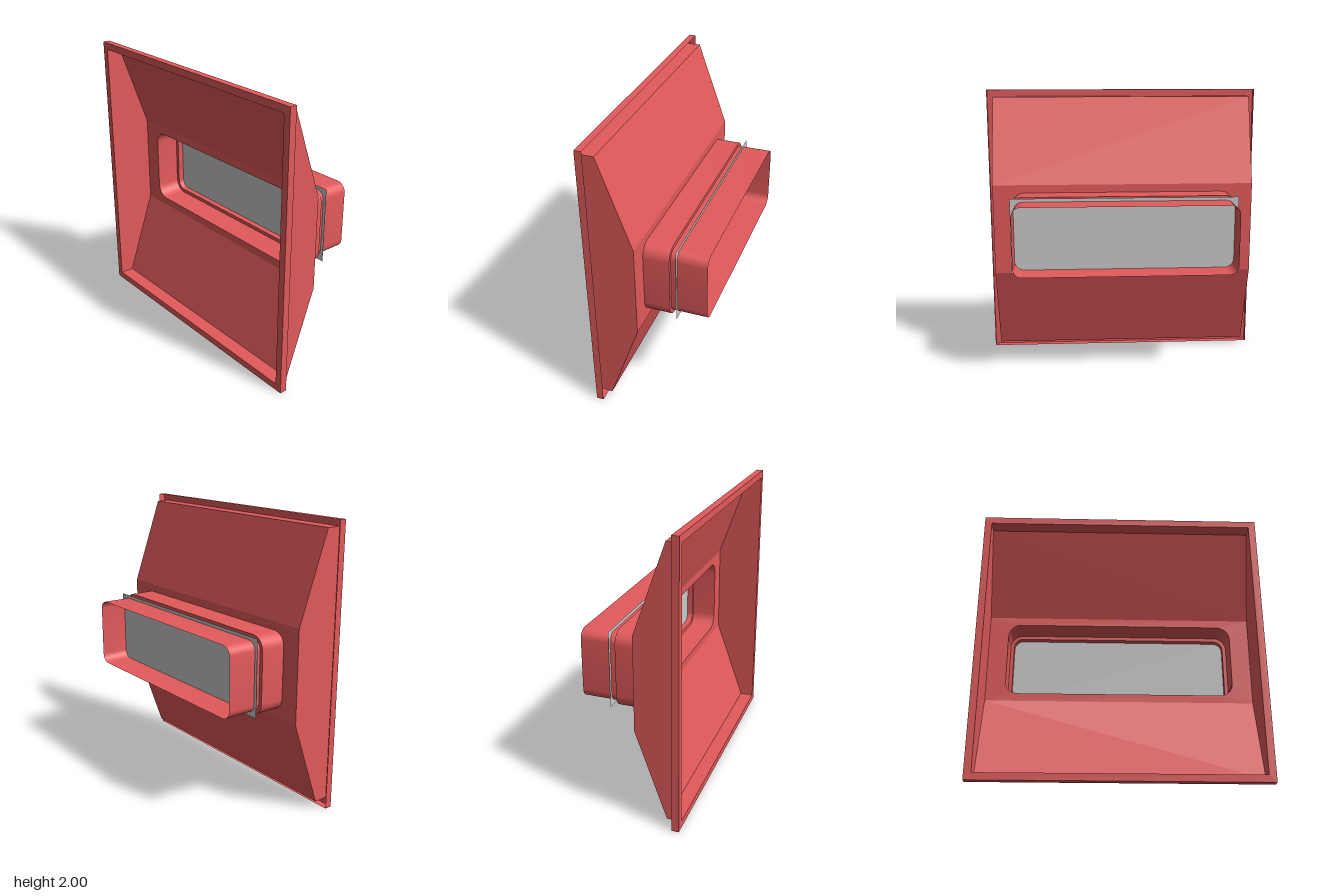
import * as THREE from 'three';
import { toCreasedNormals } from 'three/addons/utils/BufferGeometryUtils.js';

const CY = 1; // height of the central axis
const red = new THREE.MeshStandardMaterial({ color: 0xe35a5b, side: THREE.DoubleSide });
const grey = new THREE.MeshStandardMaterial({ color: 0xcccccc, side: THREE.DoubleSide });

// Corner points of a rectangle of half size w x h
const rect = (w, h) => [[w, h], [-w, h], [-w, -h], [w, -h]].map(([x, y]) => new THREE.Vector2(x, y));

// Rounded rectangle outline, counter-clockwise
function roundRect(w, h, r, steps = 8) {
  const pts = [];
  rect(w - r, h - r).forEach((c, k) => {
    for (let i = 0; i <= steps; i++) {
      const a = (k + i / steps) * Math.PI / 2;
      pts.push(new THREE.Vector2(c.x + r * Math.cos(a), c.y + r * Math.sin(a)));
    }
  });
  return pts;
}

// Sheet surface through a series of closed outlines [points, z], front to back
function loft(rings) {
  const n = rings[0][0].length, pos = [], idx = [];
  for (const [pts, z] of rings) for (const p of pts) pos.push(p.x, p.y + CY, z);
  for (let k = 0; k < rings.length - 1; k++) {
    for (let i = 0; i < n; i++) {
      const j = (i + 1) % n, a = k * n + i, b = k * n + j;
      idx.push(a, a + n, b, b, a + n, b + n);
    }
  }
  const g = new THREE.BufferGeometry();
  g.setAttribute('position', new THREE.Float32BufferAttribute(pos, 3));
  g.setIndex(idx);
  return toCreasedNormals(g, 0.6);
}

// Flat sheet with an optional hole
function sheet(outline, z, hole) {
  const s = new THREE.Shape(outline);
  if (hole) s.holes.push(new THREE.Path(hole));
  return new THREE.ShapeGeometry(s).translate(0, CY, z);
}

export function createModel() {
  const group = new THREE.Group();
  const add = (name, geometry, material) => {
    const m = new THREE.Mesh(geometry, material);
    m.name = name;
    group.add(m);
  };

  const wide = roundRect(0.812, 0.272, 0.092);
  const narrow = roundRect(0.786, 0.246, 0.066);

  // Front frame, folded back around its outer edge
  add('frontFrame', loft([[rect(0.95, 0.95), 0.375], [rect(1, 1), 0.375], [rect(1, 1), 0.325]]), red);

  // Hood: straight collar, then sloping top and bottom with upright sides
  add('hood', loft([[rect(0.95, 0.95), 0.375], [rect(0.95, 0.95), 0.275], [rect(0.95, 0.33), 0.055]]), red);

  // Back wall with the opening for the duct
  add('backWall', sheet(rect(0.95, 0.33), 0.055, wide), red);

  // Stepped duct, open at the back
  add('duct', loft([[wide, 0.055], [wide, -0.125], [narrow, -0.125], [narrow, -0.375]]), red);

  // Thin square-cornered plate crossing the duct behind the step
  add('damperPlate', sheet(rect(0.81, 0.27), -0.168), grey);

  return group;
}
